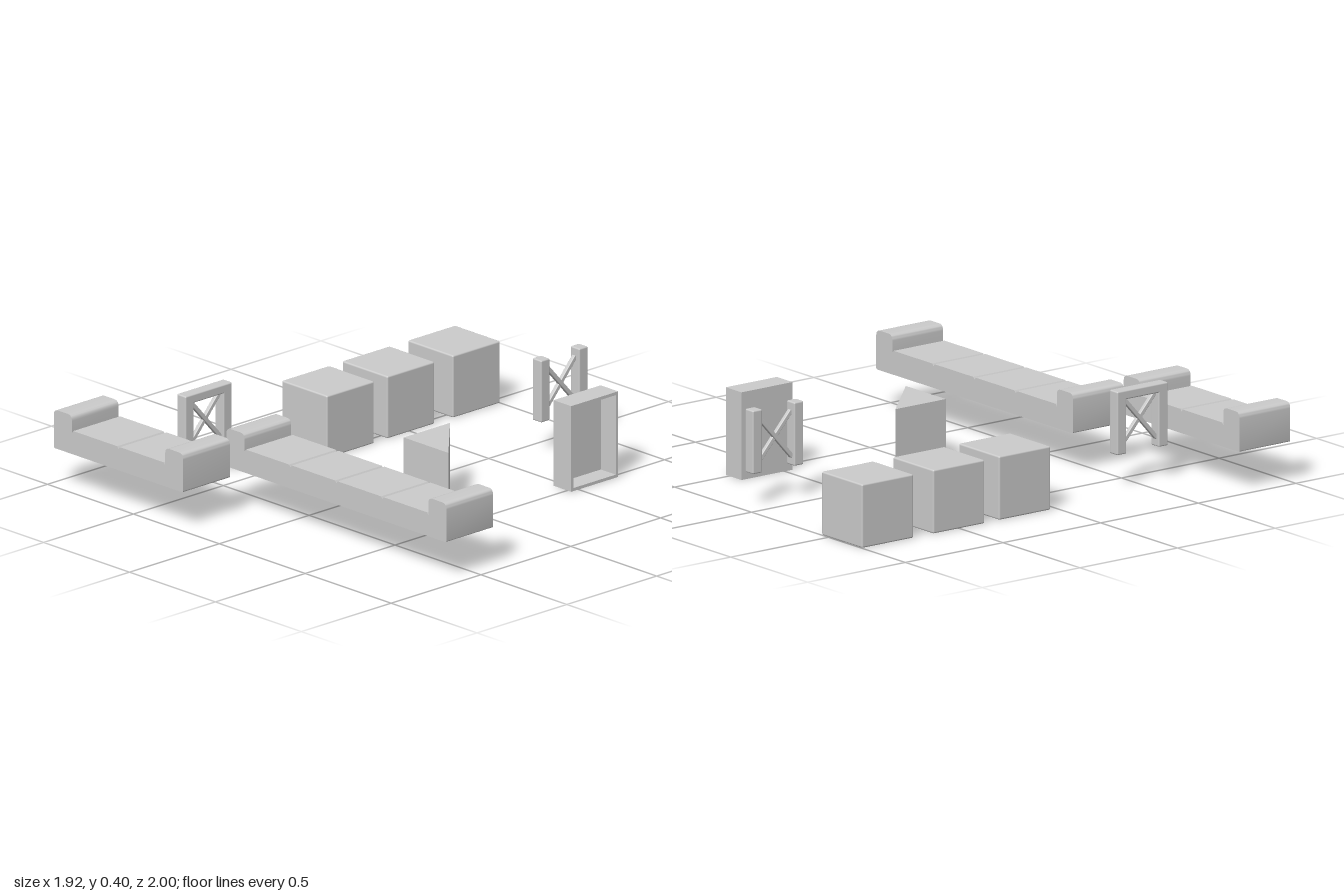
import * as THREE from 'three';
import { toCreasedNormals } from 'three/addons/utils/BufferGeometryUtils.js';
import { RoundedBoxGeometry } from 'three/addons/geometries/RoundedBoxGeometry.js';

const material = new THREE.MeshStandardMaterial({ color: 0xcccccc });

function add(parent, name, geometry, x = 0, y = 0, z = 0) {
  const mesh = new THREE.Mesh(geometry, material);
  mesh.name = name;
  mesh.position.set(x, y, z);
  parent.add(mesh);
  return mesh;
}

function roundedBox(w, h, d, r) {
  return new RoundedBoxGeometry(w, h, d, 2, r);
}

// Bench: one side profile with rounded arms and grooves between the seats
function bench(parent, name, x0, x1, seats, zBack) {
  const bottom = 0.165, seat = 0.265, top = 0.33, arm = 0.105, r = 0.025, e = 0.008;
  const s = new THREE.Shape();
  const a = x0 + arm, b = x1 - arm, step = (b - a) / seats;
  s.moveTo(x0 + e, bottom);
  s.lineTo(x1 - e, bottom);
  s.quadraticCurveTo(x1, bottom, x1, bottom + e);
  s.lineTo(x1, top - r);
  s.quadraticCurveTo(x1, top, x1 - r, top);
  s.lineTo(b + r, top);
  s.quadraticCurveTo(b, top, b, top - r);
  s.lineTo(b, seat - 0.01);
  for (let i = seats; i > 0; i--) {
    const right = a + i * step, left = right - step;
    s.lineTo(right - 0.008, seat);
    s.lineTo(left + 0.008, seat);
    s.lineTo(left, seat - 0.01);
  }
  s.lineTo(a, top - r);
  s.quadraticCurveTo(a, top, a - r, top);
  s.lineTo(x0 + r, top);
  s.quadraticCurveTo(x0, top, x0, top - r);
  s.lineTo(x0, bottom + e);
  s.quadraticCurveTo(x0, bottom, x0 + e, bottom);
  const g = new THREE.ExtrudeGeometry(s, { depth: 0.26, bevelEnabled: false, curveSegments: 6 });
  add(parent, name, toCreasedNormals(g, 0.6), 0, 0, zBack);
}

// Two posts joined by crossed braces, with an optional beam on top
function trestle(parent, name, x, z, beam) {
  const g = new THREE.Group();
  g.name = name;
  g.position.set(x, 0.267, z);
  for (const side of [-1, 1]) {
    add(g, 'post', roundedBox(0.052, 0.264, 0.048, 0.006), 0, 0, side * 0.106);
    const brace = add(g, 'brace', roundedBox(0.018, 0.255, 0.018, 0.003), side * 0.003, 0, 0);
    brace.rotation.x = side * Math.atan2(0.085, 0.095);
  }
  if (beam) add(g, 'topBeam', roundedBox(0.052, 0.038, 0.26, 0.006), 0, 0.113, 0);
  parent.add(g);
}

export function createModel() {
  const model = new THREE.Group();
  model.name = 'modularSet';

  // Three cubes in a row
  for (const [x, z] of [[-0.587, -0.868], [-0.587, -0.503], [-0.583, -0.163]]) {
    add(model, 'cube', roundedBox(0.264, 0.265, 0.264, 0.007), x, 0.1325, z);
  }

  // Benches
  bench(model, 'shortBench', -0.963, -0.21, 2, 0.74);
  bench(model, 'longBench', -0.32, 0.96, 4, 0.394);

  // Trestles
  trestle(model, 'openTrestle', 0.086, -0.815, false);
  trestle(model, 'beamTrestle', -0.588, 0.52, true);

  // Triangular block
  const tri = new THREE.Shape([
    new THREE.Vector2(0.125, 0.165),
    new THREE.Vector2(0.125, -0.093),
    new THREE.Vector2(0.385, -0.093),
  ]);
  const wedge = new THREE.ExtrudeGeometry(tri, { depth: 0.265, bevelEnabled: false });
  wedge.rotateX(-Math.PI / 2);
  add(model, 'triangularBlock', wedge);

  // Shallow box, open to its left
  const shelf = new THREE.Group();
  shelf.name = 'openBox';
  shelf.position.set(0.42, 0.1825, -0.59);
  const rect = (P, w, h) => new P([[-w, -h], [w, -h], [w, h], [-w, h]]
    .map(([x, y]) => new THREE.Vector2(x, y)));
  const outline = rect(THREE.Shape, 0.131, 0.1825);
  outline.holes.push(rect(THREE.Path, 0.118, 0.1695));
  const rim = new THREE.ExtrudeGeometry(outline, { depth: 0.102, bevelEnabled: false });
  rim.rotateY(Math.PI / 2);
  add(shelf, 'boxWalls', rim);
  add(shelf, 'boxBack', new THREE.BoxGeometry(0.015, 0.34, 0.237), 0.0075, 0, 0);
  model.add(shelf);

  return model;
}
